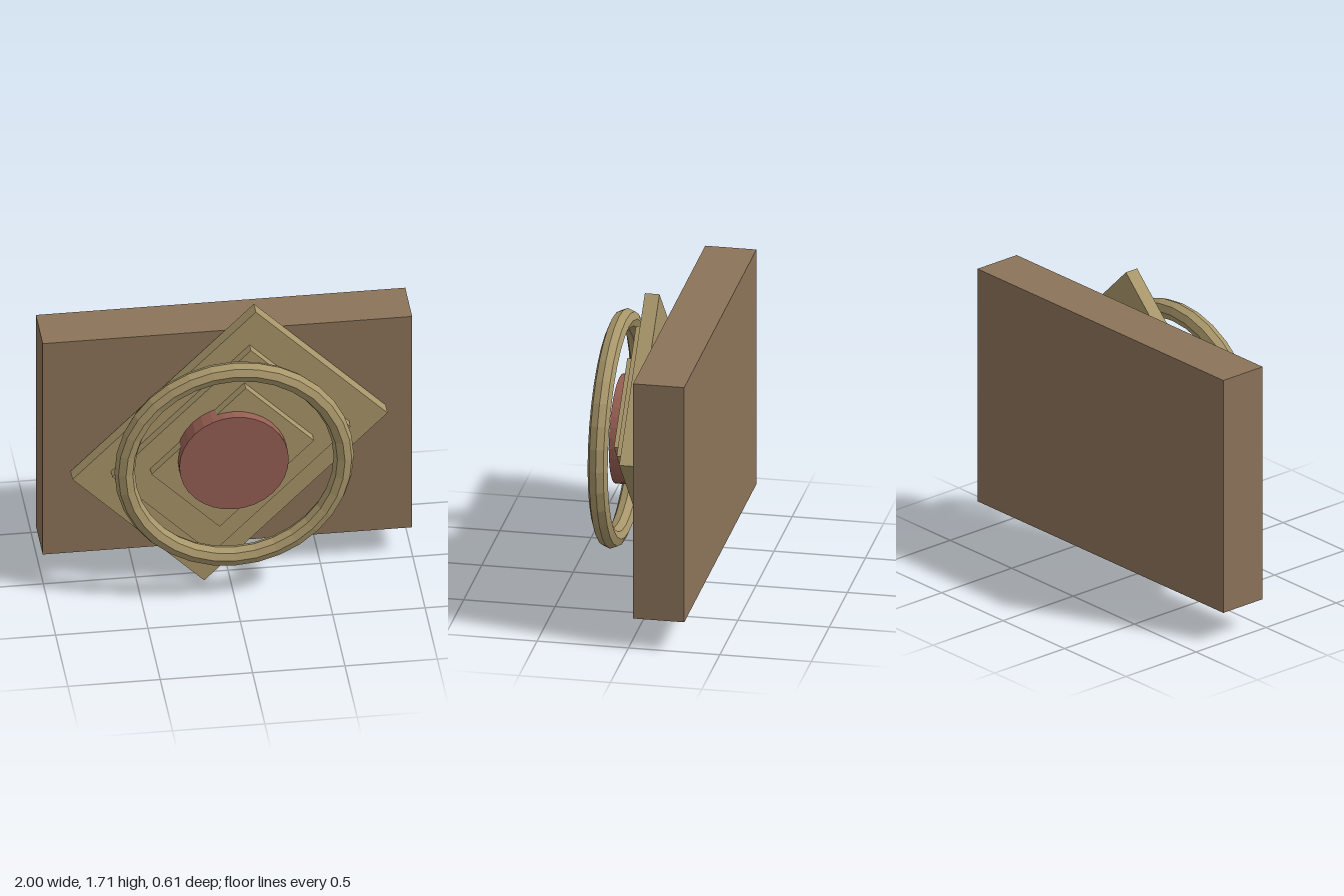
import * as THREE from 'three';

const CENTER_Y = 0.855;

export function createModel() {
  const group = new THREE.Group();
  const mat = (color) => new THREE.MeshStandardMaterial({ color, flatShading: true });
  const brown = mat(0x8b7359);
  const gold = mat(0xa8966a);
  const red = mat(0x965e52);

  const add = (name, geometry, material, z) => {
    const mesh = new THREE.Mesh(geometry, material);
    mesh.name = name;
    mesh.position.set(0, CENTER_Y, z);
    group.add(mesh);
    return mesh;
  };

  // Thick backing board
  add('backBoard', new THREE.BoxGeometry(2, 1.36, 0.28), brown, -0.165);

  // Stepped plates, turned 45 degrees: long side, short side, back z, front z
  const plates = [
    ['largePlate', 1.404, 1.008, 0, 0.08],
    ['middlePlate', 1.062, 0.762, 0.08, 0.135],
    ['smallPlate', 0.722, 0.522, 0.135, 0.19],
  ];
  for (const [name, long, short, z0, z1] of plates) {
    const plate = add(name, new THREE.BoxGeometry(long, short, z1 - z0), gold, (z0 + z1) / 2);
    plate.rotation.z = Math.PI / 4;
  }

  // Central disc
  const disc = new THREE.CylinderGeometry(0.296, 0.296, 0.11, 32).rotateX(Math.PI / 2);
  add('centerDisc', disc, red, 0.192);

  // Faceted front ring
  add('frontRing', new THREE.TorusGeometry(0.593, 0.055, 8, 32), gold, 0.249);

  return group;
}
